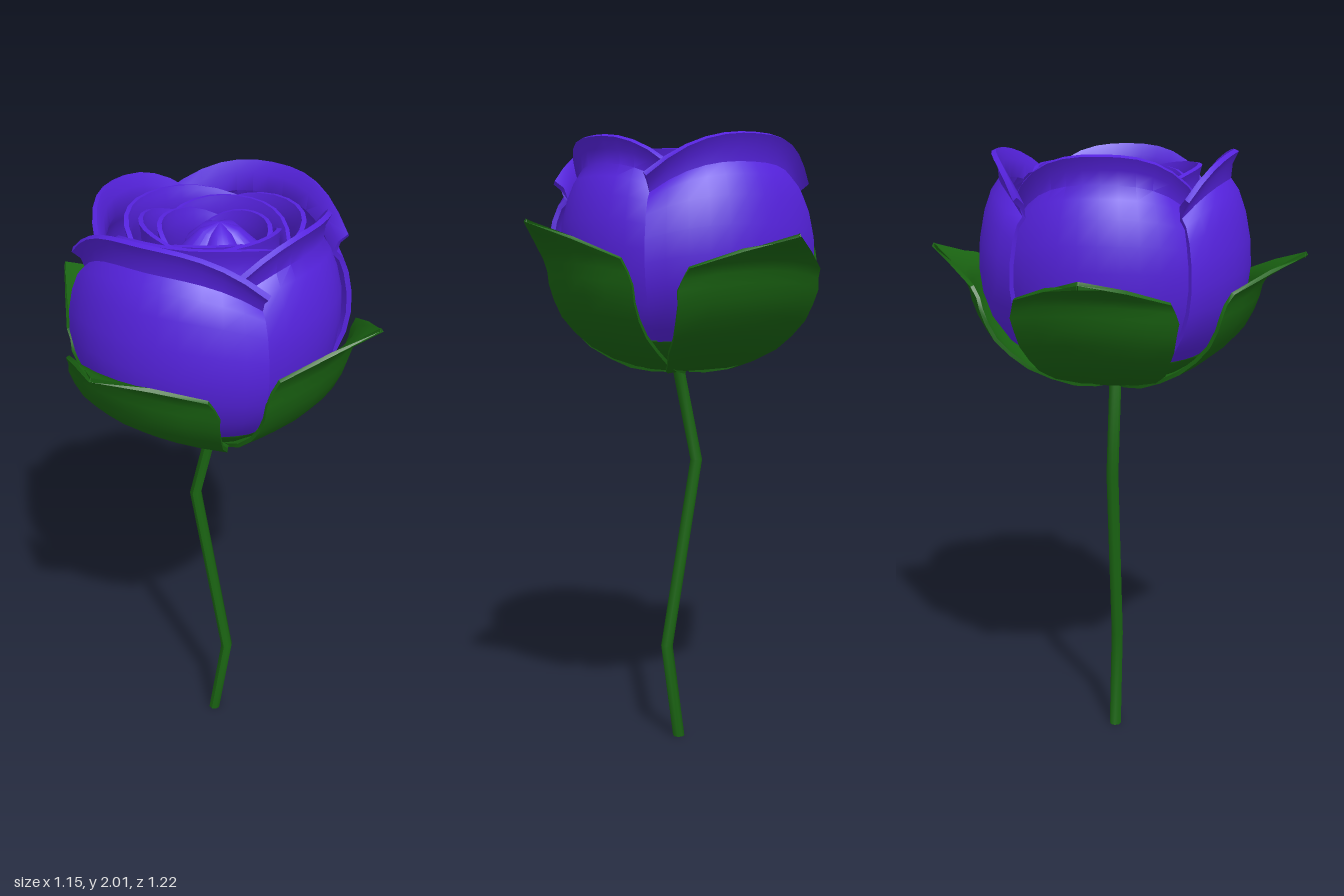
import * as THREE from 'three';
import { toCreasedNormals } from 'three/addons/utils/BufferGeometryUtils.js';

const purple = new THREE.MeshStandardMaterial({ color: 0x5522dd, side: THREE.DoubleSide });
const green = new THREE.MeshStandardMaterial({ color: 0x1a6412, side: THREE.DoubleSide });

// Closed thin shell over a surface f(u, v), u in -1..1 and v in 0..1, thickened inwards
function shell(f, nu, nv, thickness) {
  const pos = [], index = [], e = 0.01, row = nu + 1, count = row * (nv + 1);
  for (const depth of [0, thickness]) {
    for (let j = 0; j <= nv; j++) for (let i = 0; i <= nu; i++) {
      const u = (i / nu) * 2 - 1, v = j / nv;
      const du = f(Math.min(1, u + e), v).sub(f(Math.max(-1, u - e), v));
      const dv = f(u, Math.min(1, v + e)).sub(f(u, Math.max(0, v - e)));
      const n = du.cross(dv).normalize();
      pos.push(...f(u, v).addScaledVector(n, -depth).toArray());
    }
  }
  const quad = (a, b, c, d) => index.push(a, b, c, a, c, d);
  for (let j = 0; j < nv; j++) for (let i = 0; i < nu; i++) {
    const a = j * row + i, b = a + 1, c = b + row, d = a + row;
    quad(a, b, c, d);
    quad(d + count, c + count, b + count, a + count);
  }
  const wall = (a, b) => quad(b, a, a + count, b + count);
  for (let i = 0; i < nu; i++) {
    wall(i, i + 1);
    wall(nv * row + i + 1, nv * row + i);
  }
  for (let j = 0; j < nv; j++) {
    wall((j + 1) * row, j * row);
    wall(j * row + nu, (j + 1) * row + nu);
  }
  const g = new THREE.BufferGeometry();
  g.setAttribute('position', new THREE.Float32BufferAttribute(pos, 3));
  g.setIndex(index);
  return toCreasedNormals(g, 0.7);
}

const curve = (pts) => new THREE.SplineCurve(pts.map((p) => new THREE.Vector2(...p)));

// Petal wrapped round the axis: profile of [radius, height], rim sinking to the corners
function petal(profile, { half, drop = 0, flare = 0, spiral = 0, thickness = 0.016 }) {
  const c = curve(profile), y0 = profile[0][1];
  return shell((u, v) => {
    const p = c.getPoint(v), a = u * half;
    const r = p.x + flare * u ** 4 * v ** 3 - spiral * u * v;
    const y = y0 + (p.y - y0) * (1 - drop * Math.abs(u) ** 2.6 * v);
    return new THREE.Vector3(r * Math.sin(a), y, r * Math.cos(a));
  }, 12, 12, thickness);
}

// Sepal: cupped leaf with a wide shoulder and a pointed, outward bent tip
function sepal(tipRise) {
  const c = curve([[0.02, 1.265], [0.15, 1.285], [0.31, 1.36], [0.42, 1.46], [0.465, 1.56], [0.49, 1.625], [0.61, 1.69]]);
  const widths = [0.04, 0.13, 0.21, 0.25, 0.27, 0.25, 0.004];
  return shell((u, v) => {
    const p = c.getPoint(v), k = Math.min(5, Math.floor(v * 6));
    const w = THREE.MathUtils.lerp(widths[k], widths[k + 1], v * 6 - k);
    const sag = 0.09 * u * u * (w / 0.27);
    return new THREE.Vector3(u * w, p.y + tipRise * v ** 3 - sag * 0.3, p.x - sag);
  }, 6, 12, 0.012);
}

export function createModel() {
  const group = new THREE.Group();
  const add = (name, geometry, material, angle = 0) => {
    const mesh = new THREE.Mesh(geometry, material);
    mesh.name = name;
    mesh.rotation.y = angle;
    group.add(mesh);
    return mesh;
  };

  // Bent stem: a straight tube sheared along a zigzag
  const bends = [[0.01, 0], [0.06, 0.33], [-0.065, 0.96], [0.015, 1.29]];
  const stem = new THREE.CylinderGeometry(0.02, 0.02, 1, 8, 3);
  const sp = stem.attributes.position;
  for (let i = 0; i < sp.count; i++) {
    const [x, y] = bends[Math.round((sp.getY(i) + 0.5) * 3)];
    sp.setX(i, sp.getX(i) + x);
    sp.setY(i, y);
  }
  stem.computeVertexNormals();
  add('stem', stem, green);

  // Green cup under the flower
  const cup = [[0, 1.262], [0.12, 1.275], [0.24, 1.325], [0.3, 1.375], [0.29, 1.38], [0, 1.3]];
  add('calyxCup', new THREE.LatheGeometry(cup.map((p) => new THREE.Vector2(...p)), 16), green);

  // Four sepals, slightly twisted
  [0, 0.05, 0, -0.025].forEach((rise, i) => {
    const s = add('sepal', sepal(rise), green, (i * Math.PI) / 2 - 0.05);
    if (i % 2) s.scale.set(0.95, 1, 0.94);
  });

  // Outer petals: the side pair sits inside the front and back pair
  const side = [[0.06, 1.28], [0.24, 1.35], [0.34, 1.45], [0.385, 1.6], [0.39, 1.74], [0.36, 1.86], [0.325, 1.93], [0.35, 2.0]];
  const front = [[0.06, 1.28], [0.25, 1.35], [0.37, 1.45], [0.425, 1.58], [0.43, 1.72], [0.4, 1.86], [0.36, 1.93], [0.385, 2.0]];
  for (const a of [0, Math.PI]) {
    add('sidePetal', petal(side, { half: 0.95, drop: 0.2 }), purple, a + Math.PI / 2);
    add('outerPetal', petal(front, { half: 0.9, drop: 0.18, flare: 0.03 }), purple, a);
  }

  // Spiralling inner petals, ring by ring
  const rings = [[0.27, 1.96, 3, 0.3], [0.215, 1.945, 3, 1.2], [0.17, 1.93, 3, 0.5]];
  for (const [r, top, n, start] of rings) {
    const profile = [[r * 0.6, 1.45], [r * 1.05, 1.6], [r * 1.1, 1.75], [r * 0.97, top - 0.07], [r, top]];
    for (let i = 0; i < n; i++) {
      add('innerPetal', petal(profile, { half: 1.3, drop: 0.13, spiral: 0.018, thickness: 0.014 }),
        purple, start + (i * 2 * Math.PI) / n);
    }
  }

  // Pleated bud at the heart
  const budCurve = [[0.08, 1.5], [0.135, 1.65], [0.14, 1.8], [0.115, 1.88], [0.06, 1.925], [0, 1.94]];
  const bud = new THREE.LatheGeometry(budCurve.map((p) => new THREE.Vector2(...p)), 30);
  const bp = bud.attributes.position;
  for (let i = 0; i < bp.count; i++) {
    const x = bp.getX(i), z = bp.getZ(i);
    const fold = Math.abs(Math.sin(2.5 * Math.atan2(x, z)));
    const k = 0.86 + 0.14 * Math.sqrt(fold);
    bp.setXYZ(i, x * k + 0.02, bp.getY(i) - (1 - fold) * 0.12 * Math.hypot(x, z), z * k - 0.01);
  }
  bud.deleteAttribute('normal');
  add('bud', toCreasedNormals(bud, 0.6), purple);

  return group;
}
